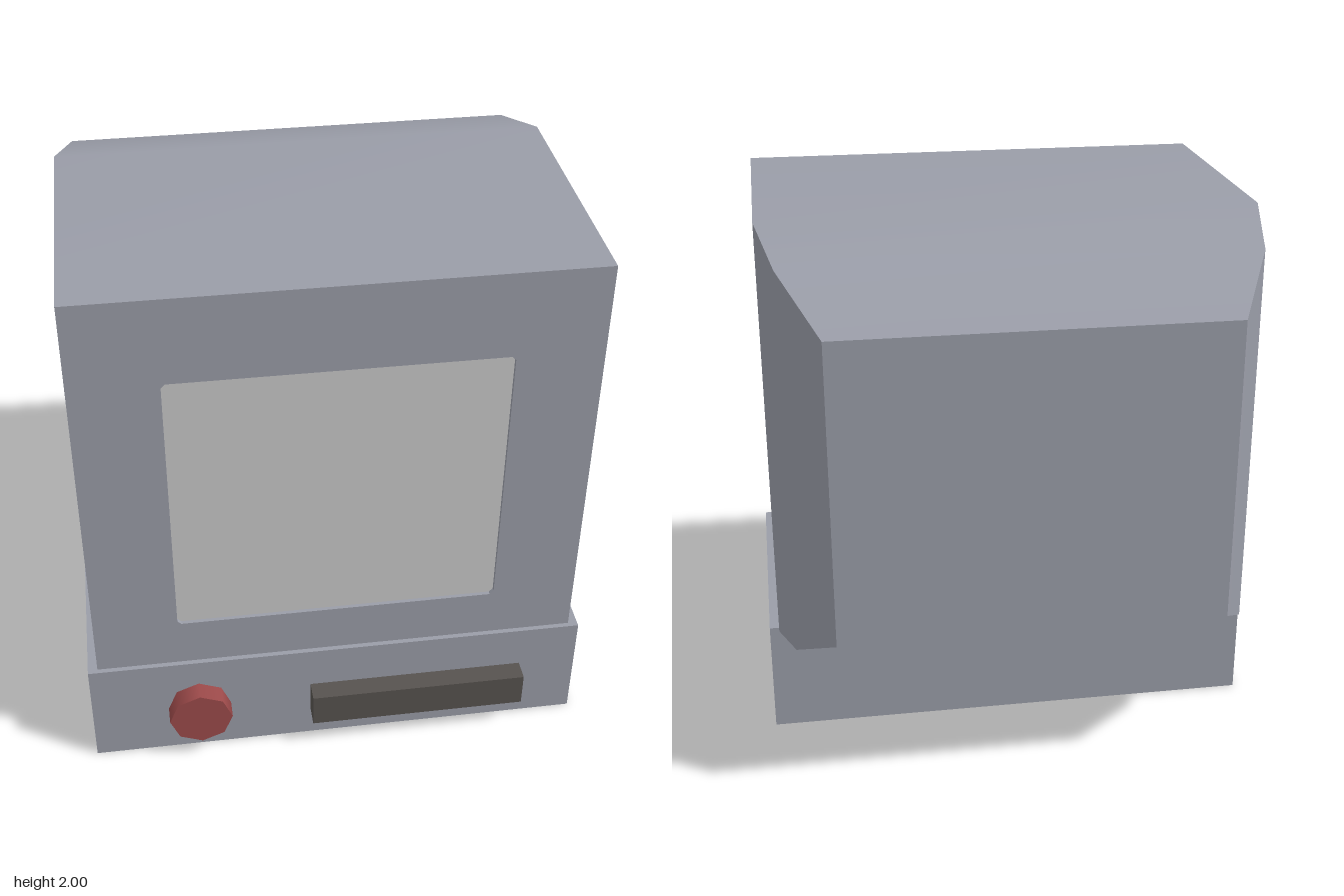
import * as THREE from 'three';

const mat = (name, color) => {
  const m = new THREE.MeshStandardMaterial({ color, side: THREE.DoubleSide });
  m.name = name;
  return m;
};

// Box with one face left out (0 +x, 1 -x, 2 +y, 3 -y, 4 +z, 5 -z)
function openBox(w, h, d, face) {
  const g = new THREE.BoxGeometry(w, h, d);
  g.setIndex(Array.from(g.index.array).filter((_, i) => Math.floor(i / 6) !== face));
  g.clearGroups();
  return g;
}

// Strip through a list of edges [pointA, pointB], smooth along its length
function strip(edges) {
  const pos = edges.flat(2), index = [];
  for (let i = 0; i < edges.length - 1; i++) {
    const a = i * 2;
    index.push(a, a + 1, a + 3, a, a + 3, a + 2);
  }
  const g = new THREE.BufferGeometry();
  g.setAttribute('position', new THREE.Float32BufferAttribute(pos, 3));
  g.setIndex(index);
  g.computeVertexNormals();
  return g;
}

function rectPath(P, x0, y0, x1, y1, r) {
  const p = new P();
  p.moveTo(x0 + r, y0);
  p.lineTo(x1 - r, y0);
  p.lineTo(x1, y0 + r);
  p.lineTo(x1, y1 - r);
  p.lineTo(x1 - r, y1);
  p.lineTo(x0 + r, y1);
  p.lineTo(x0, y1 - r);
  p.lineTo(x0, y0 + r);
  p.closePath();
  return p;
}

export function createModel() {
  const model = new THREE.Group();
  model.name = 'desktopComputer';
  const grey = mat('caseGrey', 0x9a9da8);
  const light = mat('screenGrey', 0xc8c8c8);
  const dark = mat('slotDark', 0x57534f);
  const red = mat('knobRed', 0x9c4a4a);

  const add = (name, geometry, material, x = 0, y = 0, z = 0, parent = model) => {
    const m = new THREE.Mesh(geometry, material);
    m.name = name;
    m.position.set(x, y, z);
    parent.add(m);
    return m;
  };

  // Base, hollow and open underneath
  add('base', openBox(1.84, 0.43, 1.02, 3), grey, 0, 0.215, 0.24);

  // Monitor case: rectangular sections [z, half width, bottom, top], tapering to the back
  const sections = [
    [0.715, 0.885, 0.415, 2],
    [-0.27, 0.885, 0.415, 2],
    [-0.56, 0.825, 0.5, 1.915],
    [-0.825, 0.69, 0.655, 1.757],
  ];
  const shell = new THREE.Group();
  shell.name = 'monitorCase';
  model.add(shell);
  const corners = sections.map(([z, w, b, t]) => [[w, b, z], [w, t, z], [-w, t, z], [-w, b, z]]);
  ['leftSide', 'top', 'rightSide', 'bottom'].forEach((name, i) => {
    add(name, strip(corners.map((c) => [c[(i + 1) % 4], c[i]])), grey, 0, 0, 0, shell);
  });
  const back = corners[3];
  add('backPanel', strip([[back[0], back[3]], [back[1], back[2]]]), grey, 0, 0, 0, shell);

  // The strips wind outwards; the front bezel carries the screen opening
  const bezel = rectPath(THREE.Shape, -0.885, 0.415, 0.885, 2, 0);
  bezel.holes.push(rectPath(THREE.Path, -0.582, 0.62, 0.582, 1.68, 0.014));
  add('bezel', new THREE.ExtrudeGeometry(bezel, { depth: 0.017, bevelEnabled: false }), grey, 0, 0, 0.715);
  add('screen', new THREE.PlaneGeometry(1.18, 1.08), light, 0, 1.15, 0.718);

  // Disk slot, open at the back
  add('diskSlot', openBox(0.805, 0.135, 0.09, 5), dark, 0.302, 0.192, 0.78);

  // Eight-sided knob, open at the back
  const knob = new THREE.Group();
  knob.name = 'knob';
  knob.position.set(-0.52, 0.206, 0);
  model.add(knob);
  const ring = new THREE.CylinderGeometry(0.117, 0.117, 0.11, 8, 1, true).rotateX(Math.PI / 2);
  add('knobSide', ring, red, 0, 0, 0.765, knob);
  add('knobFace', new THREE.CircleGeometry(0.117, 8), red, 0, 0, 0.82, knob);

  return model;
}
